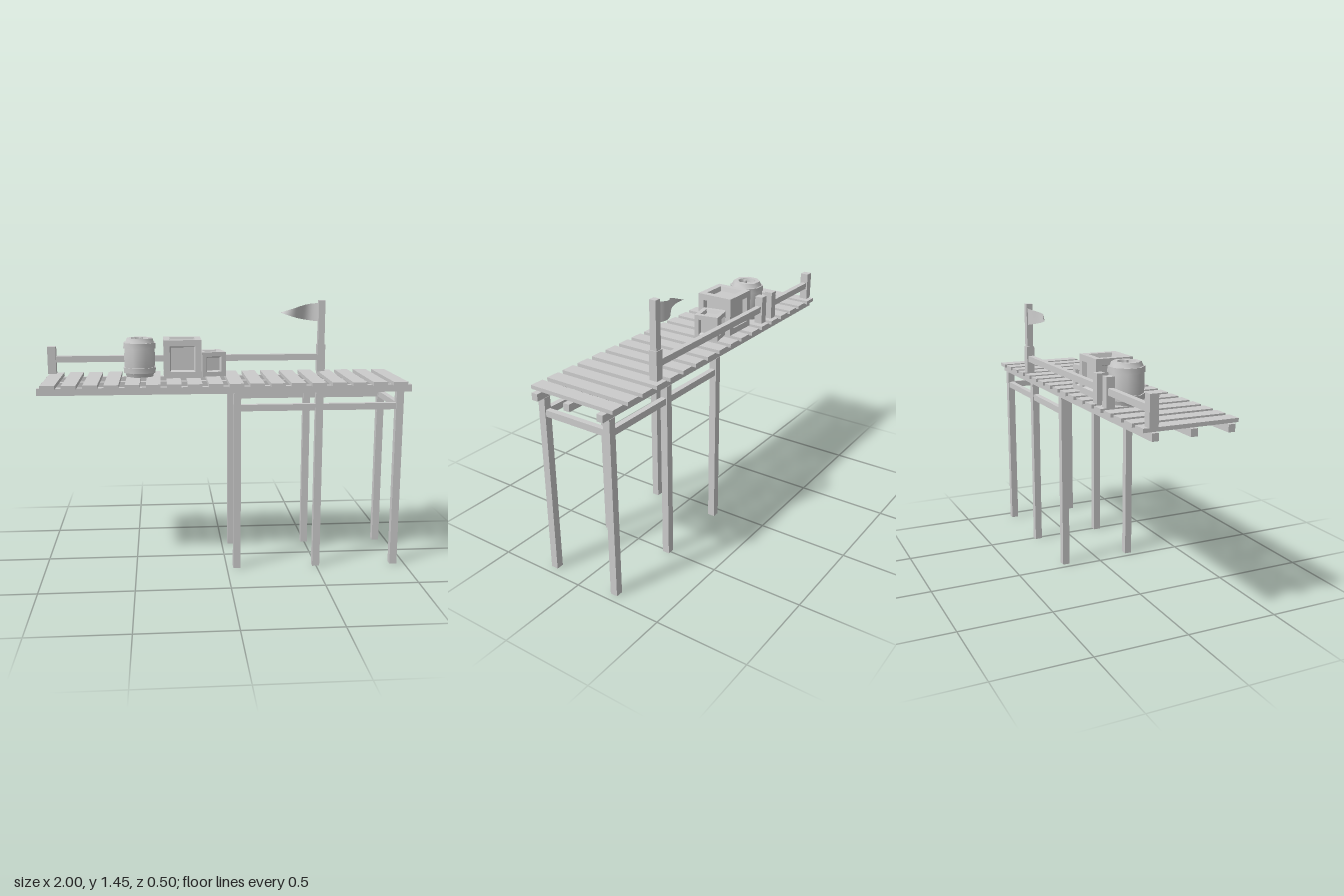
import * as THREE from 'three';
import { toCreasedNormals } from 'three/addons/utils/BufferGeometryUtils.js';
import { ParametricGeometry } from 'three/addons/geometries/ParametricGeometry.js';

const grey = new THREE.MeshStandardMaterial({ color: 0xcccccc });
const flat = new THREE.MeshStandardMaterial({ color: 0xcccccc, flatShading: true });
const cloth = new THREE.MeshStandardMaterial({ color: 0xcccccc, side: THREE.DoubleSide });

const DECK = 1.04; // top of the planks

// Box given by its extents along each axis
function beam(parent, name, [x0, x1], [y0, y1], [z0, z1]) {
  const mesh = new THREE.Mesh(new THREE.BoxGeometry(x1 - x0, y1 - y0, z1 - z0), grey);
  mesh.position.set((x0 + x1) / 2, (y0 + y1) / 2, (z0 + z1) / 2);
  mesh.name = name;
  parent.add(mesh);
  return mesh;
}
const around = (c, w) => [c - w / 2, c + w / 2];

function group(parent, name) {
  const g = new THREE.Group();
  g.name = name;
  parent.add(g);
  return g;
}

// Cube whose six faces each have a sunken square panel
function crate(name, size, border, depth) {
  const g = new THREE.Group();
  g.name = name;
  const h = size / 2;
  const profile = [[h, h], [h - border, h], [h - border - 0.007, h - depth], [0, h - depth]]
    .map(([r, y]) => new THREE.Vector2(r * Math.SQRT2, y));
  const face = new THREE.LatheGeometry(profile, 4, Math.PI / 4);
  const turns = [[0, 0], [Math.PI, 0], [Math.PI / 2, 0], [-Math.PI / 2, 0], [0, Math.PI / 2], [0, -Math.PI / 2]];
  for (const [rx, rz] of turns) {
    const mesh = new THREE.Mesh(face, flat);
    mesh.rotation.set(rx, 0, rz);
    mesh.name = 'cratePanel';
    g.add(mesh);
  }
  return g;
}

export function createModel() {
  const model = new THREE.Group();
  model.name = 'jetty';

  // Deck: three long beams carrying eighteen planks
  const deck = group(model, 'deck');
  for (const z of [-0.2, 0, 0.2]) beam(deck, 'deckBeam', [-1, 1], [0.982, 1.02], around(z, 0.036));
  for (let i = 0; i < 18; i++) {
    beam(deck, 'plank', around(-0.94 + i * 0.11, 0.077), [1.02, DECK], [-0.25, 0.25]);
  }

  // Legs and braces
  const supports = group(model, 'supports');
  for (const z of [-0.2, 0.2]) {
    for (const x of [0.055, 0.498, 0.938]) beam(supports, 'leg', around(x, 0.04), [0, 0.982], around(z, 0.04));
    beam(supports, 'sideBrace', [0.055, 0.938], [0.885, 0.92], around(z, 0.03));
  }
  beam(supports, 'endBrace', around(0.938, 0.03), [0.885, 0.92], [-0.2, 0.2]);

  // Railing along the back with a gap
  const railing = group(model, 'railing');
  for (const x of [-0.963, -0.522, -0.415, 0.577]) {
    beam(railing, 'railPost', around(x, 0.046), [DECK, 1.195], around(-0.2, 0.046));
  }
  for (const span of [[-0.963, -0.522], [-0.415, 0.577]]) {
    beam(railing, 'rail', span, [1.105, 1.14], around(-0.2, 0.03));
  }

  // Flag pole and waving pennant
  beam(model, 'flagPole', around(0.577, 0.037), [1.195, 1.447], around(-0.2, 0.037));
  const wave = (u, v, p) => {
    const half = 0.052 * (1 - Math.pow(u, 1.7));
    p.set(
      0.57 - 0.23 * u,
      1.378 + (v * 2 - 1) * half,
      -0.2 - 0.025 * Math.sin(u * Math.PI * 2 + (v - 0.5) * 0.4 * u)
    );
  };
  const pennant = new THREE.Mesh(new ParametricGeometry(wave, 16, 3), cloth);
  pennant.name = 'pennant';
  model.add(pennant);

  // Eight-sided barrel with two hoops, sunken lid and stopper
  const barrel = group(model, 'barrel');
  barrel.position.set(-0.465, DECK, -0.075);
  const barrelProfile = [
    [0, 0], [0.078, 0], [0.086, 0.022], [0.094, 0.022], [0.096, 0.052], [0.089, 0.052],
    [0.092, 0.105], [0.089, 0.158], [0.096, 0.158], [0.094, 0.188], [0.086, 0.188],
    [0.075, 0.212], [0.05, 0.212], [0.045, 0.19], [0, 0.19],
  ].map(([r, y]) => new THREE.Vector2(r, y));
  const barrelBody = new THREE.Mesh(
    toCreasedNormals(new THREE.LatheGeometry(barrelProfile, 8, Math.PI / 8), 0.85), grey);
  barrelBody.name = 'barrelBody';
  const stopper = new THREE.Mesh(new THREE.CylinderGeometry(0.011, 0.011, 0.028, 8), grey);
  stopper.position.set(0.01, 0.202, 0.005);
  stopper.name = 'barrelStopper';
  barrel.add(barrelBody, stopper);

  // Crates
  const large = crate('largeCrate', 0.208, 0.034, 0.025);
  large.position.set(-0.229, DECK + 0.104, -0.075);
  const small = crate('smallCrate', 0.135, 0.025, 0.018);
  small.position.set(-0.067, DECK + 0.0675, -0.09);
  small.rotation.y = 0.2;
  model.add(large, small);

  return model;
}
